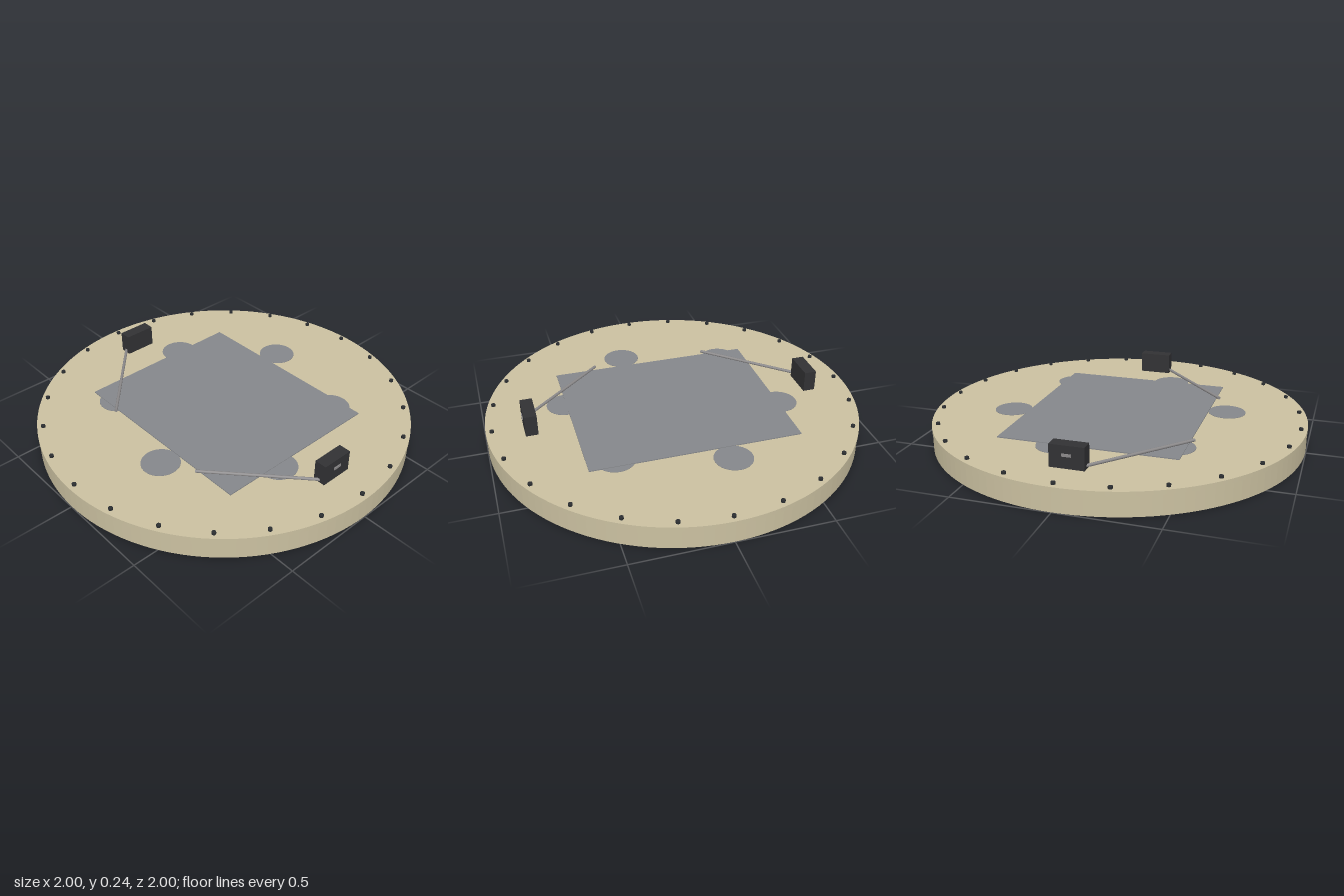
import * as THREE from 'three';

export function createModel() {
  const model = new THREE.Group();
  const mat = (name, color, side = THREE.FrontSide) => {
    const m = new THREE.MeshStandardMaterial({ color, side });
    m.name = name;
    return m;
  };
  const sand = mat('sand', 0xcbc1a1);
  const steel = mat('steel grey', 0x85878b);
  const black = mat('housing black', 0x323234);
  const boltDark = mat('bolt dark', 0x2b2e31);
  const armGrey = mat('arm grey', 0x8b898a);

  const add = (name, geometry, material, x = 0, y = 0, z = 0, parent = model) => {
    const mesh = new THREE.Mesh(geometry, material);
    mesh.name = name;
    mesh.position.set(x, y, z);
    parent.add(mesh);
    return mesh;
  };

  // Flat ring standing on y = 0, made by extruding a circle with a hole
  const ring = (outer, inner, height) => {
    const shape = new THREE.Shape().absarc(0, 0, outer, 0, Math.PI * 2);
    shape.holes.push(new THREE.Path().absarc(0, 0, inner, 0, Math.PI * 2, true));
    return new THREE.ExtrudeGeometry(shape, { depth: height, bevelEnabled: false, curveSegments: 64 })
      .rotateX(-Math.PI / 2);
  };

  // Round platform: top deck over an open rim and hub
  const DECK = 0.123;
  add('deck', new THREE.CylinderGeometry(1, 1, DECK - 0.1, 128), sand, 0, (DECK + 0.1) / 2, 0);
  add('rim', ring(0.998, 0.935, 0.1), sand);
  add('hub', ring(0.22, 0.18, 0.1), sand);

  // Twelve ribs between hub and rim
  const ribs = new THREE.Group();
  ribs.name = 'ribs';
  model.add(ribs);
  const ribGeometry = new THREE.BoxGeometry(0.73, 0.098, 0.024).translate(0.577, 0.051, 0);
  for (let i = 0; i < 12; i++) {
    add('rib', ribGeometry, sand, 0, 0, 0, ribs).rotation.y = Math.PI / 12 + (i * Math.PI) / 6;
  }

  // Bolts around the edge of the deck
  const bolts = new THREE.Group();
  bolts.name = 'bolts';
  model.add(bolts);
  const boltGeometry = new THREE.CylinderGeometry(0.011, 0.011, 0.012, 12);
  for (let i = 0; i < 24; i++) {
    const a = (i * Math.PI) / 12;
    add('bolt', boltGeometry, boltDark, 0.968 * Math.cos(a), DECK + 0.006, 0.968 * Math.sin(a), bolts);
  }

  // Six round pads partly covered by the rectangular plate
  const padGeometry = new THREE.CylinderGeometry(0.1, 0.1, 0.002, 40);
  for (let i = 0; i < 6; i++) {
    const a = Math.PI / 12 + (i * Math.PI) / 3;
    add('pad', padGeometry, steel, 0.58 * Math.cos(a), DECK + 0.001, 0.58 * Math.sin(a));
  }
  add('plate', new THREE.BoxGeometry(1.11, 0.005, 0.932), steel, 0, DECK + 0.0025, -0.002);

  // Mirrored housings with a thin arm reaching over the plate
  for (const s of [1, -1]) {
    const unit = new THREE.Group();
    unit.name = s > 0 ? 'leftArmUnit' : 'rightArmUnit';
    model.add(unit);
    add('housing', new THREE.BoxGeometry(0.065, 0.114, 0.174), black, s * 0.772, DECK + 0.057, 0, unit);
    add('sidePlate', new THREE.BoxGeometry(0.006, 0.014, 0.046), armGrey, s * 0.806, 0.19, 0, unit);
    const path = new THREE.LineCurve3(
      new THREE.Vector3(s * 0.775, 0.137, 0.08),
      new THREE.Vector3(s * 0.325, 0.137, 0.485));
    add('arm', new THREE.TubeGeometry(path, 1, 0.008, 12), armGrey, 0, 0, 0, unit);
    // Cap closing the free end of the arm
    const cap = add('armTip', new THREE.CircleGeometry(0.008, 12), armGrey, s * 0.325, 0.137, 0.485, unit);
    cap.rotation.y = Math.atan2(-s * 0.45, 0.405);
  }
  return model;
}
